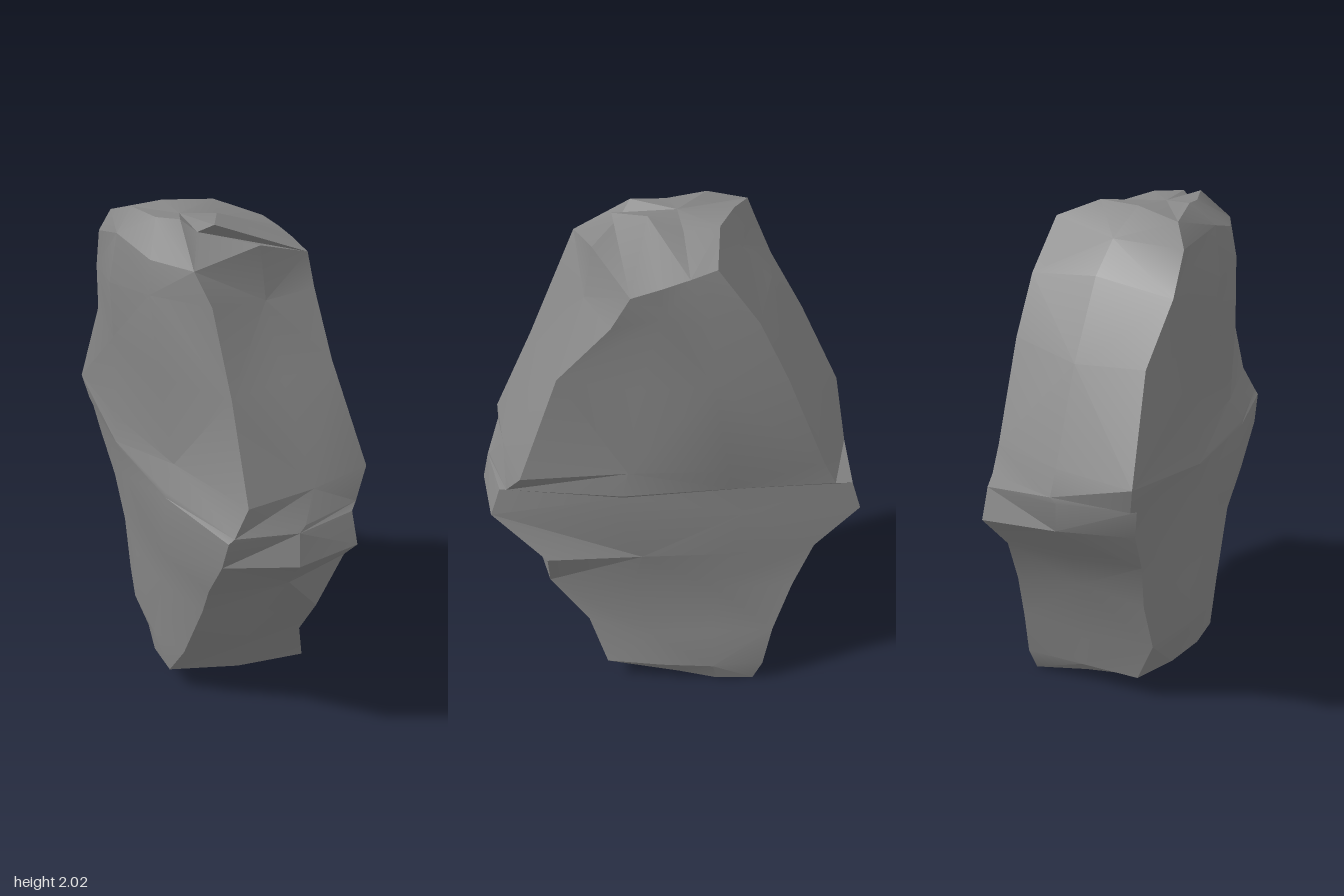
import * as THREE from 'three';
import { toCreasedNormals } from 'three/addons/utils/BufferGeometryUtils.js';

// Each level: height, then the x,z of four corners (front left, front right,
// back right, back left as seen from the front), then front and back bulge.
const levels = [
  [0.03, -0.13, 0.14, 0.28, 0.06, 0.20, -0.43, -0.23, -0.22, 0.0, 0.0],
  [0.10, -0.19, 0.26, 0.39, 0.18, 0.20, -0.47, -0.27, -0.27, 0.03, 0.0],
  [0.28, -0.13, 0.36, 0.36, 0.27, 0.18, -0.50, -0.36, -0.27, 0.02, 0.0],
  [0.53, -0.06, 0.50, 0.40, 0.42, 0.13, -0.56, -0.38, -0.34, 0.03, 0.0],
  [0.72, -0.04, 0.61, 0.51, 0.37, 0.09, -0.63, -0.42, -0.39, 0.08, 0.02],
  [0.90, 0.00, 0.74, 0.51, 0.60, 0.02, -0.79, -0.48, -0.48, 0.08, 0.02],
  [1.02, 0.02, 0.78, 0.49, 0.56, 0.03, -0.75, -0.51, -0.50, 0.05, 0.04],
  [1.04, 0.04, 0.78, 0.51, 0.52, 0.08, -0.69, -0.53, -0.55, 0.05, 0.05],
  [1.14, 0.09, 0.75, 0.56, 0.43, 0.10, -0.64, -0.56, -0.57, 0.02, 0.03],
  [1.50, 0.04, 0.59, 0.43, 0.31, 0.16, -0.49, -0.46, -0.41, 0.0, 0.02],
  [1.75, -0.02, 0.47, 0.385, 0.11, 0.19, -0.38, -0.45, -0.27, 0.0, 0.02],
  [1.89, -0.08, 0.43, 0.365, 0.04, 0.22, -0.23, -0.43, -0.20, 0.03, 0.02],
  [2.00, -0.12, 0.21, 0.0, 0.24, 0.02, -0.18, -0.38, -0.18, 0.0, 0.0],
];
const last = levels.length - 1;

// How far the broad faces swell at each level
const leftSwell = [0.02, 0.04, 0.06, 0.06, 0.06, 0.06, 0.06, 0.07, 0.06, 0.11, 0.1, 0.05, 0.01];
const rightSwell = [0.01, 0.02, 0.04, 0.045, 0.01, 0.07, 0.07, 0.06, 0.0, 0.01, 0.01, 0.01, 0.01];

// Small repeatable wobble
const wobble = (i, j) => 0.012 * Math.sin(i * 2.7 + j * 4.1);

// Point on the edge a-b, pushed outwards by the bulge
function edgePoint(a, b, t, bulge) {
  const dx = b[0] - a[0], dz = b[1] - a[1], len = Math.hypot(dx, dz);
  return [a[0] + dx * t - (dz / len) * bulge, a[1] + dz * t + (dx / len) * bulge];
}

// One closed loop of ten points around the stone
function makeRing([y, flx, flz, frx, frz, brx, brz, blx, blz, front, back], i) {
  const fl = [flx, flz], fr = [frx, frz], br = [brx, brz], bl = [blx, blz];
  const left = leftSwell[i];
  const ring = [
    fl, edgePoint(fl, fr, 0.5, front),
    fr, edgePoint(fr, br, 0.35, rightSwell[i]), edgePoint(fr, br, 0.68, i < last - 1 ? 0.025 : 0.01),
    br, edgePoint(br, bl, 0.5, back),
    bl, edgePoint(bl, fl, 0.35, left), edgePoint(bl, fl, 0.7, left),
  ];
  return ring.map(([x, z], j) => {
    let h = y;
    if (i === 0) {
      h = Math.min(0.07, Math.max(0, 0.04 - 0.2 * x));   // tilted underside
    } else if (i === last - 1) {
      if (j === 1 || j === 8) h = 1.935;                 // shoulder rim
      else if (x > 0.2) h -= 0.3 * (z + 0.08);           // sloping shoulder
    } else if (i > 1 && (i < 4 || i > 8)) {
      h += 2 * wobble(i, j);
    }
    return [x, h, z];
  });
}

function boulderGeometry() {
  const rings = levels.map(makeRing);
  const n = rings[0].length;
  const pos = [];
  const tri = (a, b, c) => pos.push(...a, ...b, ...c);
  for (let i = 0; i < last; i++) {
    for (let j = 0; j < n; j++) {
      const k = (j + 1) % n;
      const a = rings[i][j], b = rings[i][k], c = rings[i + 1][k], d = rings[i + 1][j];
      if ((i + j) % 2) { tri(a, b, c); tri(a, c, d); }
      else { tri(a, b, d); tri(b, c, d); }
    }
  }
  // Close the underside and the crown
  const centre = (ring) => [0, 1, 2].map((k) => ring.reduce((s, p) => s + p[k], 0) / n);
  const low = rings[0], high = rings[last];
  const lowMid = centre(low), highMid = centre(high);
  for (let j = 0; j < n; j++) {
    const k = (j + 1) % n;
    tri(lowMid, low[k], low[j]);
    tri(highMid, high[j], high[k]);
  }
  const geo = new THREE.BufferGeometry();
  geo.setAttribute('position', new THREE.Float32BufferAttribute(pos, 3));
  return toCreasedNormals(geo, 0.4);
}

export function createModel() {
  const group = new THREE.Group();
  group.name = 'rock';
  const boulder = new THREE.Mesh(
    boulderGeometry(),
    new THREE.MeshStandardMaterial({ color: 0x868686 }),
  );
  boulder.name = 'boulder';
  group.add(boulder);
  return group;
}
